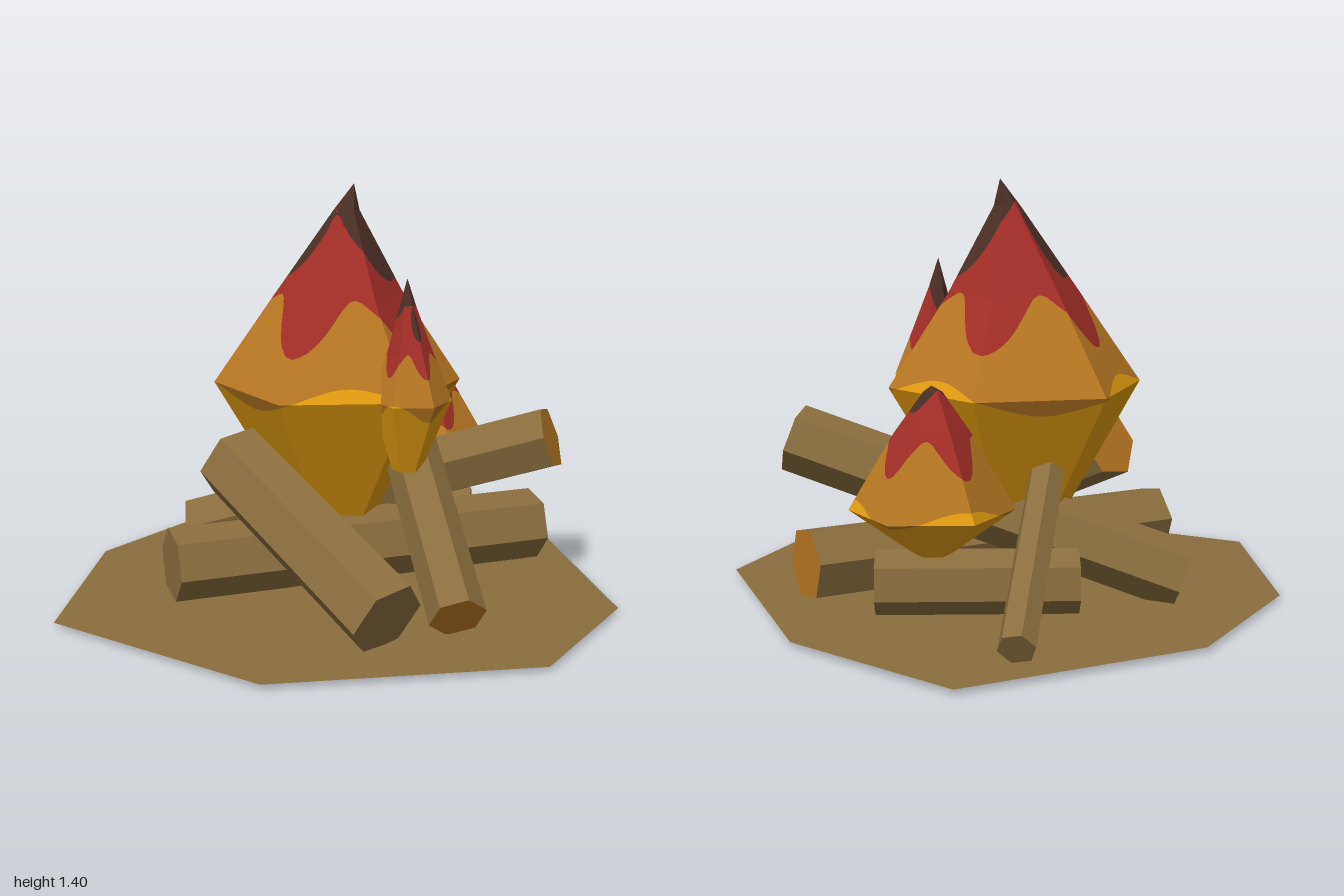
import * as THREE from 'three';

const paint = (name, color) => {
  const m = new THREE.MeshStandardMaterial({ color });
  m.name = name;
  return m;
};
const V = (x, y, z) => new THREE.Vector3(x, y, z);
const deg = Math.PI / 180;

// Flat-faced mesh from a list of triangle corners
function facets(name, points, material) {
  const g = new THREE.BufferGeometry().setFromPoints(points);
  g.computeVertexNormals();
  const mesh = new THREE.Mesh(g, material);
  mesh.name = name;
  return mesh;
}

// Keeps the part of a convex polygon where field(p) >= 0
function clip(poly, field) {
  const out = [];
  poly.forEach((p, i) => {
    const q = poly[(i + 1) % poly.length];
    const a = field(p), b = field(q);
    if (a >= 0) out.push(p);
    if ((a >= 0) !== (b >= 0)) out.push(p.clone().lerp(q, a / (a - b)));
  });
  return out;
}

// Splits a triangle into n * n smaller ones lying in the same plane
function subdivide(a, b, c, n) {
  const at = (i, j) => a.clone().addScaledVector(b.clone().sub(a), i / n).addScaledVector(c.clone().sub(a), j / n);
  const tris = [];
  for (let i = 0; i < n; i++) {
    for (let j = 0; j < n - i; j++) {
      tris.push([at(i, j), at(i + 1, j), at(i, j + 1)]);
      if (i + j < n - 1) tris.push([at(i + 1, j), at(i + 1, j + 1), at(i, j + 1)]);
    }
  }
  return tris;
}

// Six-sided flame through rings [y, radius, x, z], painted in wavy bands.
// Each band is [height, wave size, lobes, angle of the highest point].
function makeFlame(name, rings, phase, bands, materials) {
  const corner = ([y, r, x, z], k) => {
    const a = (phase + 60 * k) * deg;
    return V(x + r * Math.cos(a), y, z + r * Math.sin(a));
  };
  const [, , cx, cz] = rings[2];
  const fields = bands.map(([h, amp, lobes, peak]) => (p) =>
    p.y - h - amp * Math.cos(lobes * (Math.atan2(p.z - cz, p.x - cx) - peak * deg)));
  const parts = materials.map(() => []);
  const addPoly = (list, poly) => {
    for (let i = 1; i + 1 < poly.length; i++) list.push(poly[0], poly[i], poly[i + 1]);
  };
  for (let s = 0; s + 1 < rings.length; s++) {
    for (let k = 0; k < 6; k++) {
      const [l0, l1] = [corner(rings[s], k), corner(rings[s], k + 1)];
      const [u0, u1] = [corner(rings[s + 1], k), corner(rings[s + 1], k + 1)];
      const tris = [];
      if (rings[s][1] > 0) tris.push([l0, u0, l1]);
      if (rings[s + 1][1] > 0) tris.push([u0, u1, l1]);
      for (const t of tris) {
        for (let poly of subdivide(...t, 10)) {
          fields.forEach((f, i) => {
            addPoly(parts[i], clip(poly, (p) => -f(p)));
            poly = clip(poly, f);
          });
          addPoly(parts[fields.length], poly);
        }
      }
    }
  }
  const group = new THREE.Group();
  group.name = name;
  parts.forEach((pts, i) => {
    if (pts.length) group.add(facets(name + 'Band' + (i + 1), pts, materials[i]));
  });
  return group;
}

// Hexagonal log running from its bark-coloured end to its fresh-cut end
function makeLog(name, barkEnd, cutEnd, radius, roll, wood, cut) {
  const a = V(...barkEnd), b = V(...cutEnd);
  const dir = b.clone().sub(a);
  const g = new THREE.CylinderGeometry(radius, radius, dir.length(), 6).rotateY(roll * deg).toNonIndexed();
  g.computeVertexNormals();
  const log = new THREE.Mesh(g, [wood, cut, wood]);
  log.position.copy(a).add(b).multiplyScalar(0.5);
  log.quaternion.setFromUnitVectors(V(0, 1, 0), dir.normalize());
  log.name = name;
  return log;
}

export function createModel() {
  const wood = paint('wood brown', 0x8a6d3e);
  const orange = paint('flame orange', 0xb87722);
  const yellow = paint('flame yellow', 0xe39c10);
  const red = paint('flame red', 0xa42e27);
  const soot = paint('soot brown', 0x4c2f26);
  const fire = [yellow, orange, red, soot];

  const model = new THREE.Group();
  model.name = 'campfire';

  // Ground patch: shallow irregular octagonal mound
  const rim = [[0.06, -1], [0.89, -0.82], [1, -0.15], [0.68, 0.71],
    [0.16, 1], [-0.67, 0.66], [-1, -0.15], [-0.55, -0.75]].map(([x, z]) => V(x, 0.012, z));
  const ground = [];
  rim.forEach((p, i) => {
    const q = rim[(i + 1) % rim.length];
    ground.push(V(0, 0.045, 0), q, p, V(0, 0.011, 0), p, q);
  });
  model.add(facets('ground', ground, wood));

  // Logs: [name, bark end, cut end, radius, roll]
  [
    ['lyingLog', [-0.59, 0.155, -0.1], [0.745, 0.155, 0.15], 0.125, 0],
    ['frontLeaningLog', [-0.21, 0.125, 0.65], [-0.335, 0.48, -0.13], 0.135, 30],
    ['thinFrontLog', [0.235, 0.54, 0.08], [0.035, 0.095, 0.685], 0.095, 30],
    ['longLeaningLog', [-0.24, 0.1, -0.6], [0.65, 0.535, 0.36], 0.115, 0],
    ['thinBackLog', [0.635, 0.07, -0.79], [0.1, 0.47, -0.31], 0.06, 30],
    ['shortLyingLog', [0.15, 0.135, -0.52], [0.66, 0.135, -0.12], 0.105, 0],
  ].forEach((l) => model.add(makeLog(...l, wood, orange)));

  // Flames: closed base, widest ring, narrowing to a bent tip
  model.add(makeFlame('mainFlame', [
    [0.2, 0, 0.07, -0.11], [0.24, 0.15, 0.07, -0.11], [0.715, 0.43, 0.07, -0.11],
    [1.02, 0.225, 0.07, -0.1], [1.31, 0.045, 0.1, -0.1], [1.4, 0, 0.13, -0.1],
  ], 28, [[0.71, 0.05, 3, 115], [0.94, 0.09, 4, 105], [1.2, 0.13, 2, 130]], fire));
  model.add(makeFlame('sideFlame', [
    [0.22, 0, 0.52, -0.24], [0.23, 0.06, 0.52, -0.24], [0.37, 0.265, 0.515, -0.23],
    [0.62, 0.12, 0.52, -0.24], [0.75, 0.03, 0.525, -0.25], [0.77, 0, 0.53, -0.25],
  ], -22, [[0.38, 0.025, 3, 40], [0.55, 0.06, 4, 45], [0.72, 0.035, 2, 100]], fire));
  model.add(makeFlame('frontFlame', [
    [0.46, 0, 0.125, 0.25], [0.47, 0.05, 0.125, 0.25], [0.715, 0.135, 0.12, 0.28],
    [0.88, 0.075, 0.12, 0.27], [1.02, 0.03, 0.12, 0.255], [1.12, 0, 0.12, 0.25],
  ], 30, [[0.69, 0.03, 3, 30], [0.84, 0.04, 4, 45], [0.99, 0.07, 2, 0]], fire));

  return model;
}
